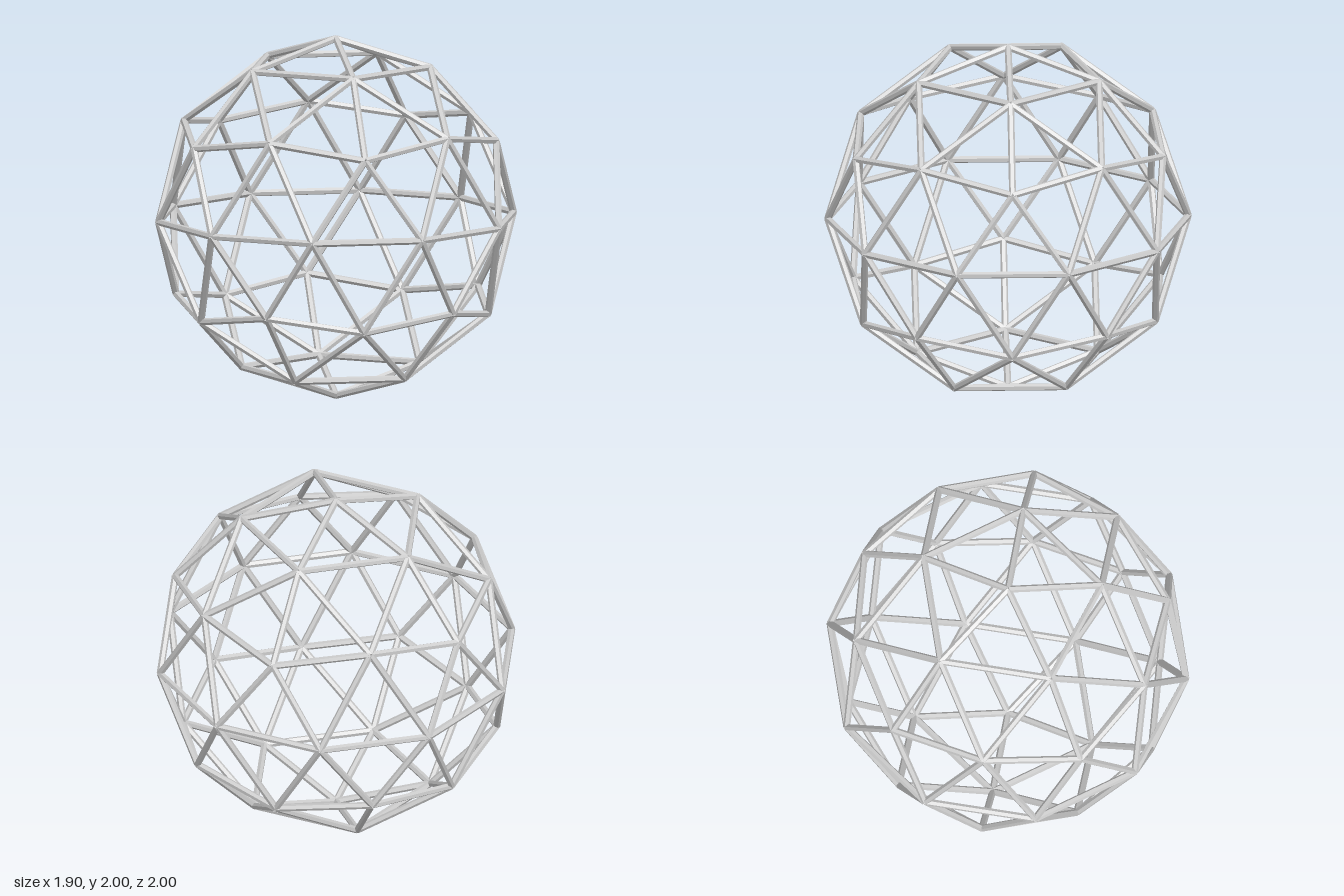
import * as THREE from 'three';

const R = 0.981;           // distance from centre to each joint
const STRUT_RADIUS = 0.019;

// Ring of joints at a given height on the unit sphere
function ring(y, count, startDeg) {
  const r = Math.sqrt(1 - y * y);
  return Array.from({ length: count }, (_, i) => {
    const a = THREE.MathUtils.degToRad(startDeg + (360 / count) * i);
    return new THREE.Vector3(r * Math.cos(a), y, r * Math.sin(a));
  });
}

export function createModel() {
  const group = new THREE.Group();
  group.name = 'geodesicSphereFrame';
  const material = new THREE.MeshStandardMaterial({ color: 0xcccccc, flatShading: true });

  // Joints of a twice-divided icosahedron with a five-way joint at each pole
  const high = 0.8507, mid = 0.5257, low = 0.4472;
  const joints = [
    new THREE.Vector3(0, 1, 0),
    ...ring(high, 5, 0),
    ...ring(mid, 5, 36),
    ...ring(low, 5, 0),
    ...ring(0, 10, 18),
    ...ring(-low, 5, 36),
    ...ring(-mid, 5, 0),
    ...ring(-high, 5, 36),
    new THREE.Vector3(0, -1, 0),
  ].map((p) => p.multiplyScalar(R));

  // Six-sided struts between neighbouring joints
  const up = new THREE.Vector3(0, 1, 0);
  const unitStrut = new THREE.CylinderGeometry(STRUT_RADIUS, STRUT_RADIUS, 1, 6);
  joints.forEach((a, i) => {
    joints.slice(i + 1).forEach((b) => {
      const length = a.distanceTo(b);
      if (length > 0.7 * R) return;
      const strut = new THREE.Mesh(unitStrut, material);
      strut.name = 'strut';
      strut.scale.y = length;
      strut.position.addVectors(a, b).multiplyScalar(0.5);
      strut.position.y += 1;
      strut.quaternion.setFromUnitVectors(up, b.clone().sub(a).normalize());
      group.add(strut);
    });
  });

  return group;
}
